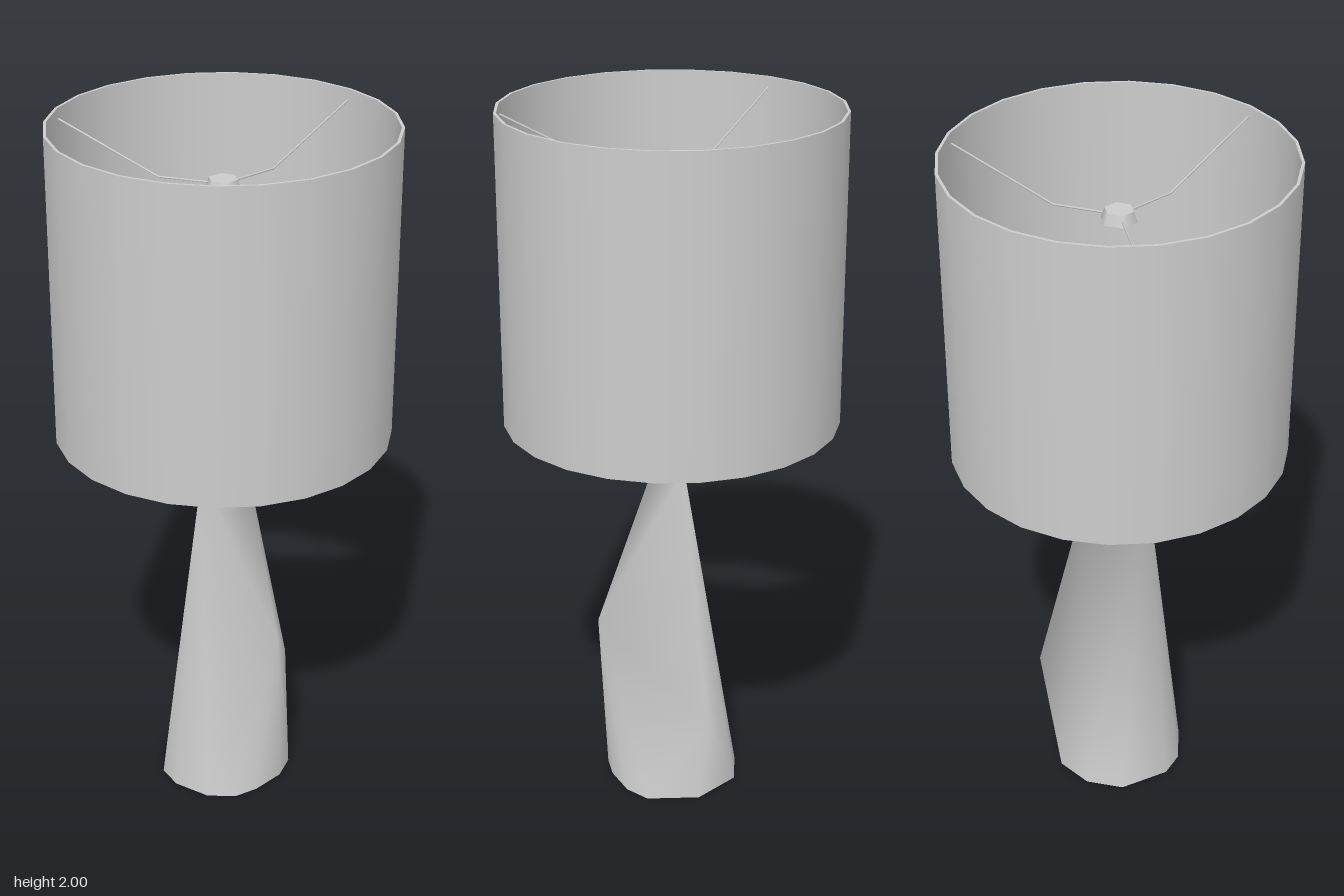
import * as THREE from 'three';
import { ConvexGeometry } from 'three/addons/geometries/ConvexGeometry.js';

const grey = new THREE.MeshStandardMaterial({ color: 0xcccccc, side: THREE.DoubleSide });
grey.name = 'plain grey';

const V = (x, y, z) => new THREE.Vector3(x, y, z);

function add(parent, name, geometry) {
  const mesh = new THREE.Mesh(geometry, grey);
  mesh.name = name;
  parent.add(mesh);
  return mesh;
}

// Thin straight rod between two points
function rod(parent, name, a, b, radius) {
  const mesh = add(parent, name, new THREE.CylinderGeometry(radius, radius, a.distanceTo(b), 5));
  mesh.position.copy(a).lerp(b, 0.5);
  mesh.quaternion.setFromUnitVectors(V(0, 1, 0), b.clone().sub(a).normalize());
}

// Faceted hull with normals pointing out from the vertical axis; flat floor keeps its own normal
function roundedHull(points) {
  const geo = new ConvexGeometry(points);
  const pos = geo.attributes.position, normal = geo.attributes.normal;
  for (let i = 0; i < pos.count; i++) {
    if (normal.getY(i) < -0.95) continue;
    const n = V(pos.getX(i), 0, pos.getZ(i)).normalize();
    normal.setXYZ(i, n.x * 0.98, 0.15, n.z * 0.98);
  }
  return geo;
}

export function createModel() {
  const lamp = new THREE.Group();
  lamp.name = 'tableLamp';

  // Body: round foot rising to a narrow top edge, with one bulge at the side and one at the back
  const foot = [[0, 0.19], [0.107, 0.16], [0.165, 0.1], [0.18, 0.03], [0.175, -0.07], [0.14, -0.14],
    [0, -0.195], [-0.14, -0.14], [-0.19, -0.04], [-0.18, 0.07], [-0.075, 0.175]];
  add(lamp, 'body', roundedHull([
    ...foot.map(([x, z]) => V(x, 0, z)),
    V(0.23, 0.54, 0), V(0, 0.28, -0.255),
    V(0, 1, 0.083), V(0, 1, -0.085),
  ]));

  // Neck: small leaning spike
  add(lamp, 'neck', new ConvexGeometry([
    V(-0.042, 1.01, 0), V(0.0, 1.01, 0.037), V(0.038, 1.01, 0.015),
    V(0.035, 1.01, -0.03), V(0.018, 1.16, -0.022),
  ]));

  // Shade: thin double wall, open at both ends
  const shade = new THREE.Group();
  shade.name = 'shade';
  lamp.add(shade);
  const sides = 24, bottom = 1.13, top = 2, outer = 0.467, inner = 0.459;
  const wall = (name, r) => {
    const geo = new THREE.CylinderGeometry(r, r, top - bottom, sides, 1, true);
    add(shade, name, geo).position.y = (top + bottom) / 2;
    return geo;
  };
  wall('outerWall', outer);
  wall('innerWall', inner).scale(-1, 1, 1);
  for (const [name, y, turn] of [['topRim', top, -1], ['bottomRim', bottom, 1]]) {
    const rim = new THREE.RingGeometry(inner, outer, sides, 1);
    rim.rotateX(turn * Math.PI / 2);
    rim.rotateY(Math.PI / 2);
    add(shade, name, rim).position.y = y;
  }

  // Hub and three bent arms that carry the shade
  const spider = new THREE.Group();
  spider.name = 'shadeCarrier';
  lamp.add(spider);
  const hubY = 1.84;
  add(spider, 'hub', new THREE.CylinderGeometry(0.04, 0.05, 0.03, 6)).position.y = hubY;
  for (let i = 0; i < 3; i++) {
    const a = -Math.PI / 2 + i * Math.PI * 2 / 3;
    const at = (r, y) => V(r * Math.cos(a), y, r * Math.sin(a));
    rod(spider, 'armInner', at(0.03, hubY), at(0.18, hubY), 0.003);
    rod(spider, 'armOuter', at(0.18, hubY), at(0.458, 1.97), 0.003);
  }

  // Small hanging pulls either side of the neck
  for (const s of [-1, 1]) {
    add(lamp, 'pull', new THREE.CylinderGeometry(0.012, 0.012, 0.09, 6)).position.set(s * 0.105, 1.22, -0.003);
    rod(lamp, 'pullStem', V(s * 0.075, 1.27, -0.005), V(s * 0.13, 1.27, -0.005), 0.002);
  }
  return lamp;
}
